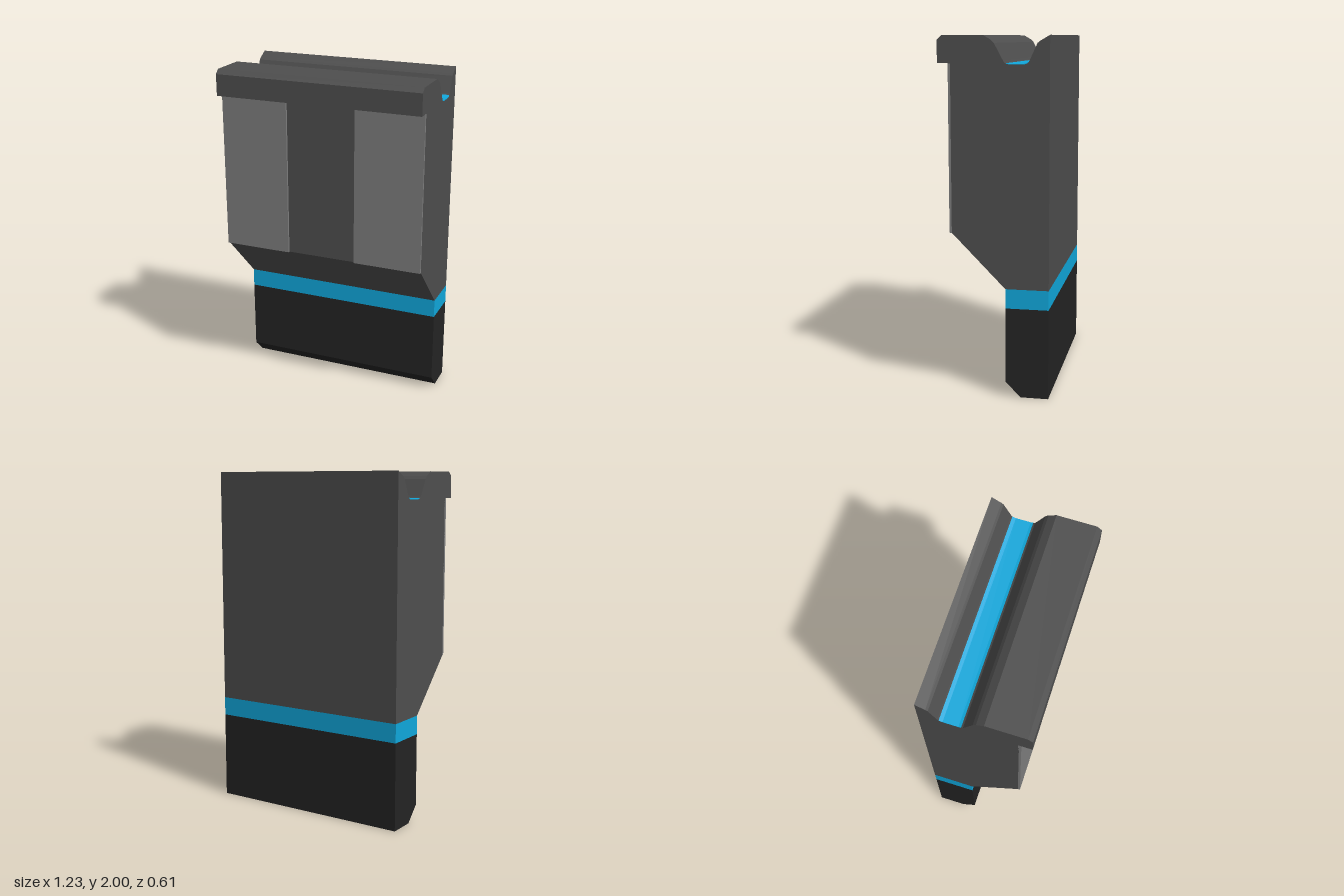
import * as THREE from 'three';

const WIDTH = 1.226;
const BACK = -0.307;
const material = (name, color) => new THREE.MeshStandardMaterial({ name, color });

// Extrudes a side profile of [z, y] points across x, centred on x = 0.
function slab(name, points, mat, width = WIDTH, x = 0) {
  const shape = new THREE.Shape(points.map(([z, y]) => new THREE.Vector2(z, y)));
  const geometry = new THREE.ExtrudeGeometry(shape, { depth: width, bevelEnabled: false });
  geometry.rotateY(-Math.PI / 2).translate(x + width / 2, 0, 0);
  const mesh = new THREE.Mesh(geometry, mat);
  mesh.name = name;
  return mesh;
}

export function createModel() {
  const darkGrey = material('darkGrey', 0x4e4e4e);
  const lightGrey = material('lightGrey', 0x7e7e7e);
  const black = material('black', 0x242424);
  const blue = material('blue', 0x10a8dc);
  const model = new THREE.Group();
  model.name = 'clipModule';

  // Rounded floor of the top channel, front to back
  const channel = [
    [-0.055, 1.865], [-0.061, 1.855], [-0.071, 1.849], [-0.085, 1.846],
    [-0.17, 1.846], [-0.181, 1.849], [-0.19, 1.855], [-0.197, 1.865],
  ];

  // Body with sloped underside, overhanging lip and top channel
  model.add(slab('body', [
    [BACK, 0.62], [-0.065, 0.62], [0.235, 0.925], [0.235, 1.85],
    [0.307, 1.85], [0.307, 1.975], [0.28, 2], [0.055, 2], [0.012, 1.975], [-0.005, 1.958],
    ...channel, [-0.24, 1.958], [-0.252, 1.968], [BACK, 2],
  ], darkGrey));

  // Coloured lining on the channel floor
  const floor = channel.slice(2, 7);
  const lining = [...floor, ...floor.map(([z, y]) => [z, y + 0.003]).reverse()];
  model.add(slab('channelLining', lining, blue));

  // Raised front panels
  for (const side of [-1, 1]) {
    model.add(slab(side > 0 ? 'leftPanel' : 'rightPanel', [
      [0.23, 0.925], [0.248, 0.925], [0.248, 1.85], [0.23, 1.85],
    ], lightGrey, 0.405, side * 0.4105));
  }

  // Coloured band and chamfered foot
  model.add(slab('band', [[BACK, 0.51], [-0.065, 0.51], [-0.065, 0.62], [BACK, 0.62]], blue));
  model.add(slab('foot', [
    [BACK, 0], [-0.15, 0], [-0.065, 0.087], [-0.065, 0.51], [BACK, 0.51],
  ], black));

  return model;
}
